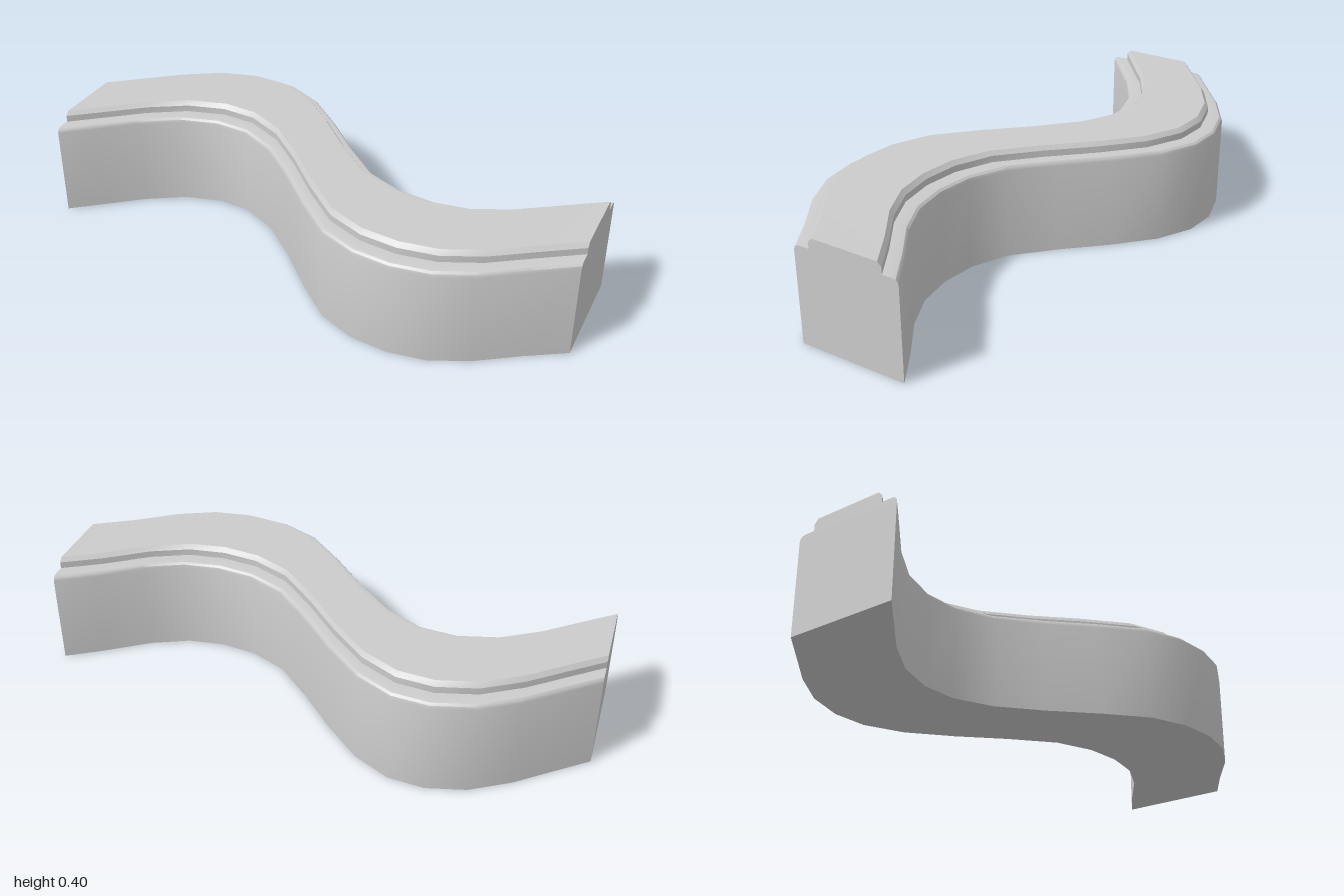
import * as THREE from 'three';
import { toCreasedNormals } from 'three/addons/utils/BufferGeometryUtils.js';

// Centre line of the wave, as [x, z] stations from right to left
const PATH = [
  [-1, 0.022], [-0.89, -0.065], [-0.765, -0.165], [-0.63, -0.246],
  [-0.49, -0.281], [-0.36, -0.268], [-0.225, -0.197], [-0.09, -0.072],
  [0.045, 0.072], [0.18, 0.199], [0.315, 0.261], [0.45, 0.28],
  [0.585, 0.264], [0.72, 0.205], [0.865, 0.108], [1, 0.026],
];

// Half of the cross-section: wall, rounded shoulder, ledge, raised chamfered top
const HALF = [
  [0.203, 0], [0.203, 0.337], [0.2, 0.347], [0.192, 0.354], [0.18, 0.356],
  [0.142, 0.356], [0.142, 0.38], [0.127, 0.396],
];

function sweptGeometry() {
  const mirrored = HALF.map(([u, y]) => [-u, y]).reverse();
  const shape = new THREE.Shape([...HALF, ...mirrored].map(([u, y]) => new THREE.Vector2(u, y)));
  const steps = PATH.length - 1;
  const geometry = new THREE.ExtrudeGeometry(shape, { depth: steps, steps, bevelEnabled: false });
  geometry.rotateY(Math.PI / 2);

  // Slide every section sideways onto its station of the wave
  const p = geometry.attributes.position;
  for (let i = 0; i < p.count; i++) {
    const station = Math.round(p.getX(i));
    const [x, z] = PATH[station];
    const y = p.getY(i);
    // The left end rises very slightly
    const lift = station === steps && y > 0.1 ? 0.004 : 0;
    p.setXYZ(i, x, y + lift, p.getZ(i) + z);
  }
  geometry.deleteAttribute('uv');
  geometry.deleteAttribute('normal');
  return toCreasedNormals(geometry, Math.PI / 6);
}

export function createModel() {
  const group = new THREE.Group();
  group.name = 'wavyBlock';
  const material = new THREE.MeshStandardMaterial({ color: 0xcccccc });
  const body = new THREE.Mesh(sweptGeometry(), material);
  body.name = 'curvedBench';
  group.add(body);
  return group;
}
